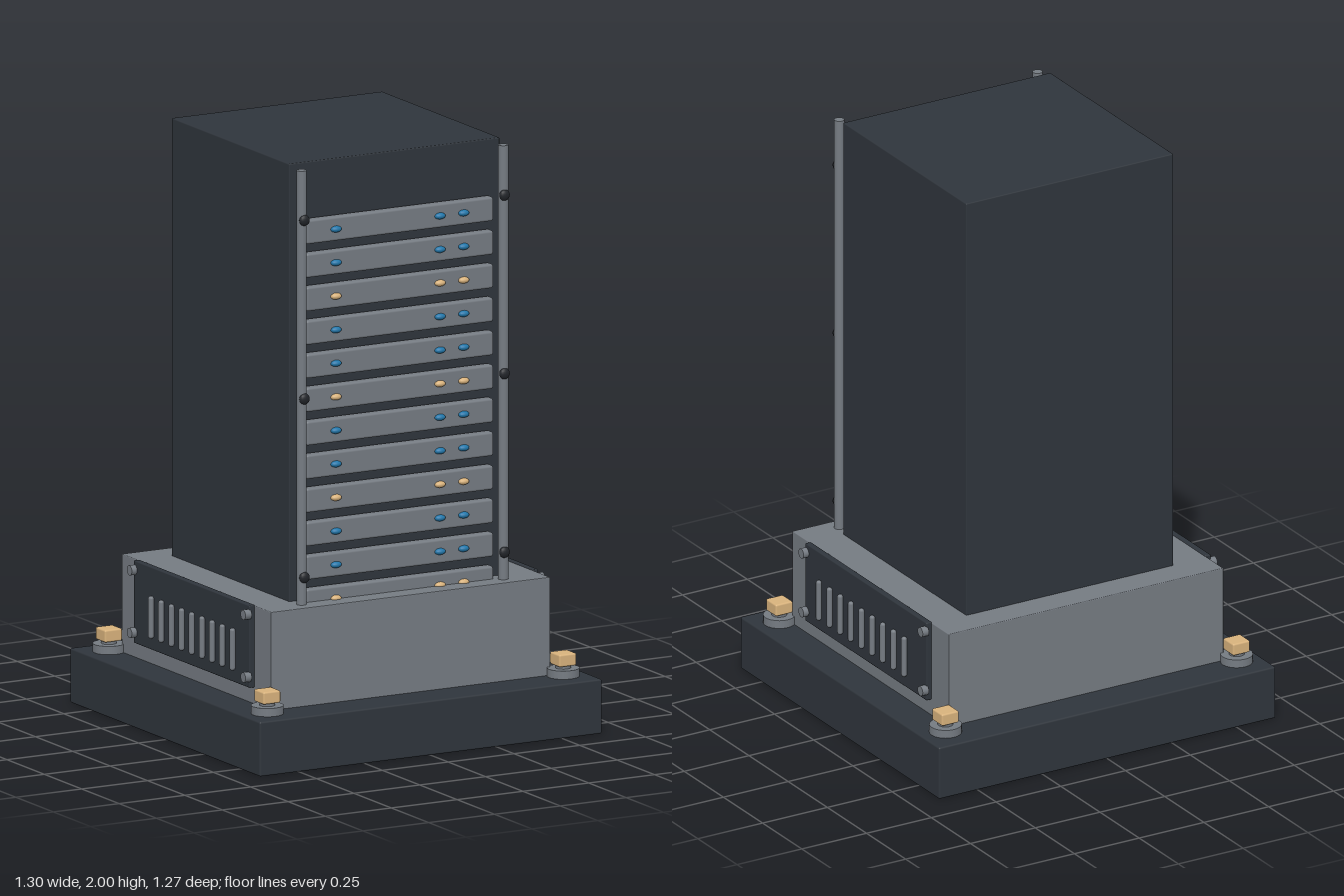
import * as THREE from 'three';
import { RoundedBoxGeometry } from 'three/addons/geometries/RoundedBoxGeometry.js';

const mat = (color) => new THREE.MeshStandardMaterial({ color });

export function createModel() {
  const root = new THREE.Group();
  const dark = mat(0x2f353c), grey = mat(0x757b82), black = mat(0x22252a);
  const tan = mat(0xd8b27c), blue = mat(0x2277aa);

  const add = (name, geometry, material, x, y, z, parent = root) => {
    const mesh = new THREE.Mesh(geometry, material);
    mesh.name = name;
    mesh.position.set(x, y, z);
    parent.add(mesh);
    return mesh;
  };
  const box = (w, h, d, r = 0.006) => new RoundedBoxGeometry(w, h, d, 2, r);

  // Main stacked volumes
  add('base', box(1.3, 0.185, 1.27), dark, 0, 0.0925, 0);
  add('plinth', box(1.06, 0.335, 1.0, 0.003), grey, 0, 0.3495, 0);
  add('cabinet', box(0.8, 1.486, 0.786, 0.004), dark, 0, 1.257, -0.002);

  // Equipment trays with three indicator lights each
  const trayGeo = box(0.71, 0.082, 0.036, 0.008);
  const lightGeo = new THREE.SphereGeometry(1, 16, 10).scale(0.02, 0.011, 0.014);
  for (let i = 0; i < 12; i++) {
    const tray = new THREE.Group();
    tray.name = `tray${i + 1}`;
    tray.position.set(0, 1.77 - i * 0.1137, 0.412);
    root.add(tray);
    add('trayBody', trayGeo, grey, 0, 0, 0, tray);
    for (const x of [-0.245, 0.15, 0.24]) {
      add('indicatorLight', lightGeo, i % 3 === 2 ? tan : blue, x, 0, 0.019, tray);
    }
  }

  // Upright rails with dark fasteners
  const railGeo = new THREE.CylinderGeometry(0.017, 0.017, 1.475, 16);
  const knobGeo = new THREE.SphereGeometry(0.019, 16, 10).scale(1, 1, 0.6);
  for (const s of [-1, 1]) {
    add('rail', railGeo, grey, s * 0.383, 1.25, 0.444);
    for (const y of [0.61, 1.215, 1.82]) add('railFastener', knobGeo, black, s * 0.38, y, 0.458);
  }

  // Vent panels on both sides of the plinth
  const panelGeo = box(0.022, 0.28, 0.775, 0.004);
  const slatGeo = new THREE.CapsuleGeometry(0.01, 0.125, 4, 10);
  const boltGeo = new THREE.CylinderGeometry(0.017, 0.017, 0.024, 16).rotateZ(Math.PI / 2);
  for (const s of [-1, 1]) {
    const vent = new THREE.Group();
    vent.name = s > 0 ? 'leftVent' : 'rightVent';
    root.add(vent);
    add('ventPanel', panelGeo, dark, s * 0.538, 0.38, 0, vent);
    for (let i = 0; i < 9; i++) {
      add('ventSlat', slatGeo, grey, s * 0.557, 0.353, 0.287 - i * 0.068, vent);
    }
    for (const y of [0.277, 0.489]) {
      for (const z of [-0.38, 0.38]) add('ventBolt', boltGeo, grey, s * 0.557, y, z, vent);
    }
  }

  // Corner anchors: round washer, short stem and square nut
  const washerGeo = new THREE.CylinderGeometry(0.054, 0.054, 0.03, 24);
  const stemGeo = new THREE.CylinderGeometry(0.026, 0.026, 0.03, 16);
  const nutGeo = box(0.066, 0.042, 0.066);
  for (const x of [-0.562, 0.562]) {
    for (const z of [-0.53, 0.53]) {
      const anchor = new THREE.Group();
      anchor.name = 'cornerAnchor';
      anchor.position.set(x, 0, z);
      root.add(anchor);
      add('washer', washerGeo, grey, 0, 0.198, 0, anchor);
      add('stem', stemGeo, grey, 0, 0.218, 0, anchor);
      add('nut', nutGeo, tan, 0, 0.244, 0, anchor);
    }
  }
  return root;
}
